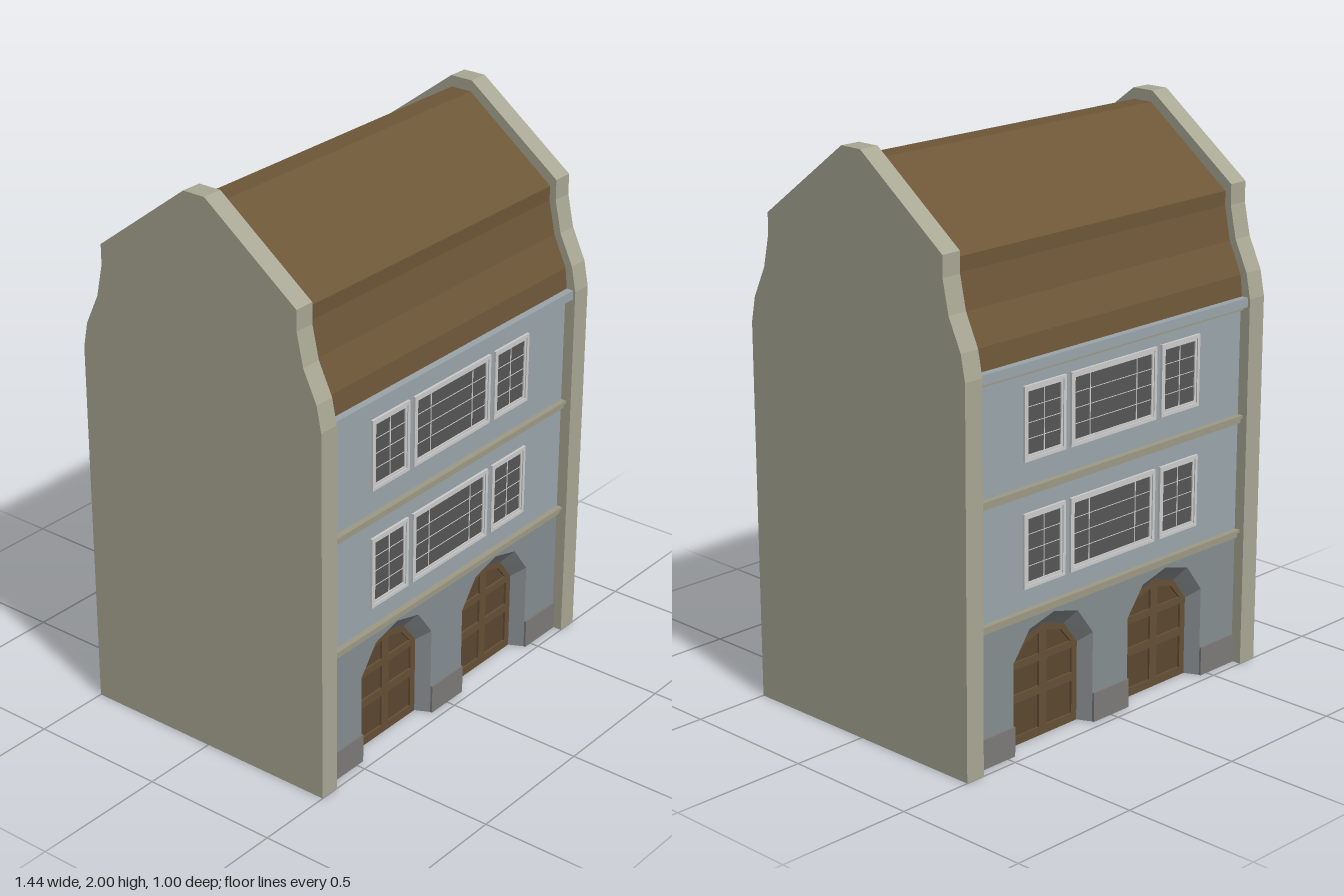
import * as THREE from 'three';

const mat = (color, side = THREE.FrontSide) =>
  new THREE.MeshStandardMaterial({ color, flatShading: true, side });
const M = {
  gable: mat(0xa8a794), wall: mat(0x9aa5a9), lower: mat(0x858d90), reveal: mat(0x85898c, THREE.DoubleSide),
  plinth: mat(0x7c7a78), roof: mat(0x6d5638), door: mat(0x644f35), panel: mat(0x5a4730),
  glass: mat(0x555555), frame: mat(0xcccccc), band: mat(0x9c9985), floor: mat(0x666666),
};

const HALF = 0.645;   // inner half width between the gables
const WALL = 0.46;    // facade plane
const DOOR = 0.41;    // recessed door plane

function add(parent, name, geometry, material) {
  const mesh = new THREE.Mesh(geometry, material);
  mesh.name = name;
  parent.add(mesh);
  return mesh;
}

// Box given by its min and max on each axis
function block(parent, name, material, x0, x1, y0, y1, z0, z1) {
  const g = new THREE.BoxGeometry(x1 - x0, y1 - y0, z1 - z0);
  g.translate((x0 + x1) / 2, (y0 + y1) / 2, (z0 + z1) / 2);
  return add(parent, name, g, material);
}

// Right half of an outline, mirrored into a full closed outline
const mirrored = (half) => [
  ...half, ...half.slice().reverse().filter(([x]) => x > 0).map(([x, y]) => [-x, y]),
].map(([x, y]) => new THREE.Vector2(x, y));

// Profile in z and y, swept along x
function sweepX(half, x0, x1) {
  const g = new THREE.ExtrudeGeometry(new THREE.Shape(mirrored(half)), { depth: x1 - x0, bevelEnabled: false });
  return g.rotateY(Math.PI / 2).translate(x0, 0, 0);
}

function extrude(shape, z0, z1) {
  return new THREE.ExtrudeGeometry(shape, { depth: z1 - z0, bevelEnabled: false }).translate(0, 0, z0);
}

const rect = (x0, x1, y0, y1) => new THREE.Path(
  [[x0, y0], [x1, y0], [x1, y1], [x0, y1]].map(([x, y]) => new THREE.Vector2(x, y)));

const OUTER = mirrored([[0.19, 0], [0.19, 0.325], [0.115, 0.425], [0, 0.455]]);
const INNER = mirrored([[0.165, 0], [0.165, 0.285], [0.1, 0.37], [0, 0.4]]);

// Splayed arch reveal between the facade and the door
function revealGeometry() {
  const pos = [];
  for (let i = 0; i < OUTER.length - 1; i++) {
    const [a, b, c, d] = [OUTER[i], OUTER[i + 1], INNER[i], INNER[i + 1]];
    for (const [p, z] of [[a, WALL], [b, WALL], [d, DOOR], [a, WALL], [d, DOOR], [c, DOOR]]) pos.push(p.x, p.y, z);
  }
  const g = new THREE.BufferGeometry();
  g.setAttribute('position', new THREE.Float32BufferAttribute(pos, 3));
  g.computeVertexNormals();
  return g;
}

function doorway(x) {
  const g = new THREE.Group();
  g.name = 'doorway';
  add(g, 'archReveal', revealGeometry(), M.reveal);
  add(g, 'doorPanels', extrude(new THREE.Shape(INNER), 0.38, 0.402), M.panel);
  // Door framing with a pair of panel columns
  const frame = new THREE.Shape(INNER);
  for (const s of [-1, 1]) {
    const [a, b] = s < 0 ? [-0.14, -0.018] : [0.018, 0.14];
    frame.holes.push(rect(a, b, 0.03, 0.15), rect(a, b, 0.18, 0.27));
    frame.holes.push(new THREE.Path([[0.018, 0.295], [0.135, 0.295], [0.088, 0.35], [0.018, 0.37]]
      .map(([px, py]) => new THREE.Vector2(s * px, py))));
  }
  add(g, 'doorFrame', extrude(frame, 0.395, DOOR), M.door);
  g.position.x = x;
  return g;
}

function windowUnit(x0, x1, y0, y1, columns) {
  const g = new THREE.Group();
  g.name = 'window';
  const outline = (inset) => rect(x0 + inset, x1 - inset, y0 + inset, y1 - inset);
  const ring = (a, b, z) => {
    const s = new THREE.Shape(outline(a).getPoints());
    s.holes.push(outline(b));
    return extrude(s, WALL - 0.01, z);
  };
  add(g, 'outerFrame', ring(0, 0.012, WALL + 0.009), M.frame);
  add(g, 'innerFrame', ring(0.012, 0.021, WALL + 0.005), M.frame);
  block(g, 'glass', M.glass, x0 + 0.015, x1 - 0.015, y0 + 0.015, y1 - 0.015, WALL - 0.01, WALL + 0.001);
  // Glazing bars
  const bar = 0.0018, z = WALL + 0.003;
  for (const x of columns) block(g, 'mullion', M.frame, x - bar, x + bar, y0 + 0.02, y1 - 0.02, WALL, z);
  for (let i = 1; i < 4; i++) {
    const y = y0 + 0.02 + (y1 - y0 - 0.04) * i / 4;
    block(g, 'glazingBar', M.frame, x0 + 0.02, x1 - 0.02, y - bar / 2, y + bar / 2, WALL, z);
  }
  return g;
}

function facade() {
  const g = new THREE.Group();
  // Ground floor wall with two arched openings
  const wall = new THREE.Shape();
  wall.moveTo(-HALF, 0);
  const openings = [-0.277, 0.277];
  for (const x of openings) {
    wall.lineTo(x - 0.19, 0);
    for (const p of OUTER.slice().reverse().slice(1, -1)) wall.lineTo(x + p.x, p.y);
    wall.lineTo(x + 0.19, 0);
  }
  wall.lineTo(HALF, 0);
  wall.lineTo(HALF, 0.48);
  wall.lineTo(-HALF, 0.48);
  add(g, 'groundFloorWall', extrude(wall, 0.39, WALL), M.lower);
  for (const x of openings) g.add(doorway(x));
  for (const [a, b] of [[-HALF, -0.467], [-0.087, 0.087], [0.467, HALF]])
    block(g, 'plinth', M.plinth, a, b, 0, 0.105, 0.4, 0.468);

  // Two storeys of windows
  for (const [y0, y1] of [[0.572, 0.83], [1.005, 1.258]]) {
    g.add(windowUnit(-0.425, -0.232, y0, y1, [-0.328]));
    g.add(windowUnit(-0.207, 0.207, y0, y1, [-0.113, 0.113]));
    g.add(windowUnit(0.232, 0.425, y0, y1, [0.328]));
  }

  // Stepped string courses and cornice
  for (const y of [0.472, 0.893]) {
    block(g, 'stringCourse', M.band, -HALF, HALF, y, y + 0.019, 0.43, 0.472);
    block(g, 'stringCourseCap', M.band, -HALF, HALF, y + 0.019, y + 0.03, 0.43, 0.482);
  }
  block(g, 'corniceBase', M.band, -HALF, HALF, 1.298, 1.312, 0.43, 0.472);
  block(g, 'cornice', M.wall, -HALF, HALF, 1.312, 1.345, 0.43, 0.491);
  return g;
}

export function createModel() {
  const model = new THREE.Group();
  model.name = 'townHouse';

  // Body
  block(model, 'groundFloorCore', M.floor, -HALF, HALF, 0, 0.48, -0.39, 0.39);
  block(model, 'upperStoreys', M.wall, -HALF, HALF, 0.478, 1.34, -WALL, WALL);

  // Curved roof
  add(model, 'roof', sweepX([[0.465, 1.34], [0.456, 1.42], [0.405, 1.53], [0.38, 1.65],
    [0.38, 1.7], [0.04, 1.96]], -HALF, HALF), M.roof);

  // Gable walls
  const gable = [[0.5, 0], [0.5, 1.34], [0.482, 1.43], [0.43, 1.54], [0.405, 1.655], [0.405, 1.727], [0.043, 2]];
  add(model, 'leftGable', sweepX(gable, HALF, 0.72), M.gable);
  add(model, 'rightGable', sweepX(gable, -0.72, -HALF), M.gable);

  // Matching front and back
  const front = facade();
  front.name = 'frontFacade';
  const back = facade();
  back.name = 'backFacade';
  back.rotation.y = Math.PI;
  model.add(front, back);
  return model;
}
